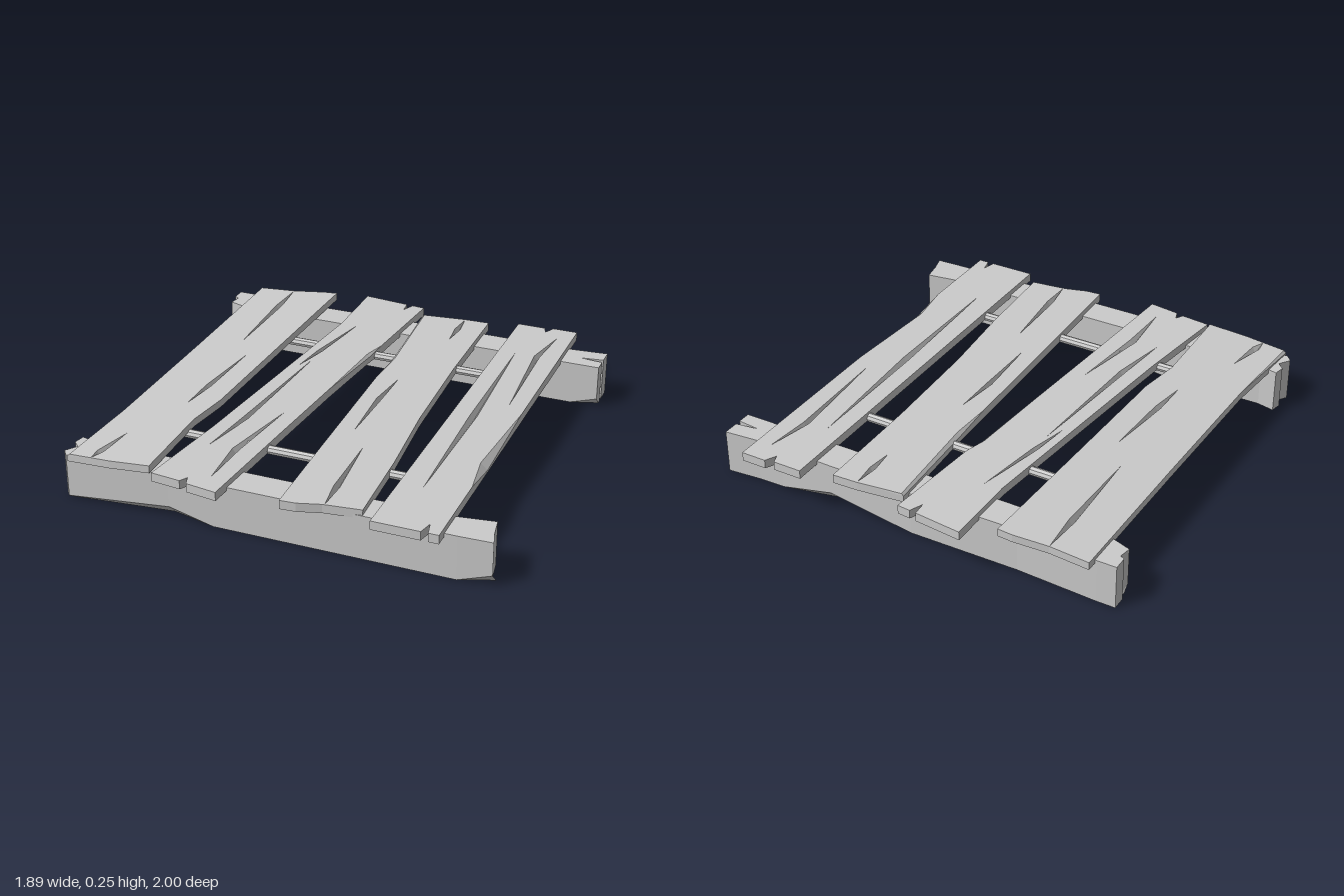
import * as THREE from 'three';

const material = new THREE.MeshStandardMaterial({ color: 0xcccccc, flatShading: true });

// Spindle-shaped crack from (x0,z0) to (x1,z1), widest at fraction t, bowed sideways
function crack([x0, z0, x1, z1, w = 0.013, t = 0.5, bow = 0]) {
  const x = x0 + (x1 - x0) * t + bow, z = z0 + (z1 - z0) * t;
  return [[x0, z0], [x + w, z], [x1, z1], [x - w, z]];
}

// Hewn timber slab. Outline points: [x, z, top worn in x, bottom chamfer in z]
function slab(name, outline, y0, y1, cracks = [], tilt = 0, depth = 0.025) {
  const v2 = p => new THREE.Vector2(p[0], p[1]);
  if (THREE.ShapeUtils.area(outline.map(v2)) < 0) outline = outline.slice().reverse();
  const box = new THREE.Box2().setFromPoints(outline.map(v2));
  const mid = box.getCenter(new THREE.Vector2());
  const at = (x, y, z) => new THREE.Vector3(x, y + tilt * (x - box.min.x), z);
  const positions = [];
  const n = new THREE.Vector3(), e = new THREE.Vector3();

  // up: 1 or -1 forces the face to look up or down
  const face = (a, b, c, up = 0) => {
    n.subVectors(b, a).cross(e.subVectors(c, a));
    if (n.length() < 1e-8) return;
    const order = up && n.y * up < 0 ? [a, c, b] : [a, b, c];
    order.forEach(p => positions.push(p.x, p.y, p.z));
  };

  const bottom = outline.map(([x, z, , c = 0]) => at(x, y0, z - Math.sign(z - mid.y) * c));
  const low = outline.map(([x, z, , c = 0]) => at(x, y0 + c, z));
  const high = outline.map(([x, z, w = 0]) => at(x, y1 - w, z));
  const top = outline.map(([x, z, w = 0]) => at(x - Math.sign(x - mid.x) * w, y1, z));

  // Side walls
  const rings = [bottom, low, high, top];
  for (let r = 0; r < 3; r++) {
    outline.forEach((_, i) => {
      const j = (i + 1) % outline.length, A = rings[r], B = rings[r + 1];
      face(A[i], B[i], B[j]);
      face(A[i], B[j], A[j]);
    });
  }

  // Caps, the top one pierced by the cracks
  const flat = ring => ring.map(p => new THREE.Vector2(p.x, p.z));
  const holes = cracks.map(c => crack(c).map(([x, z]) => at(x, y1, z)));
  const all = top.concat(...holes);
  THREE.ShapeUtils.triangulateShape(flat(top), holes.map(flat))
    .forEach(([a, b, c]) => face(all[a], all[b], all[c], 1));
  THREE.ShapeUtils.triangulateShape(flat(bottom), [])
    .forEach(([a, b, c]) => face(bottom[a], bottom[b], bottom[c], -1));

  // Sunken crack walls
  holes.forEach(h => {
    const pit = h[1].clone().add(h[3]).multiplyScalar(0.5);
    pit.y -= depth;
    h.forEach((p, i) => face(p, h[(i + 1) % h.length], pit, 1));
  });

  const geometry = new THREE.BufferGeometry();
  geometry.setAttribute('position', new THREE.Float32BufferAttribute(positions, 3));
  geometry.computeVertexNormals();
  const mesh = new THREE.Mesh(geometry, material);
  mesh.name = name;
  return mesh;
}

export function createModel() {
  const group = new THREE.Group();
  group.name = 'woodenPallet';

  // Cross beams resting on the ground
  group.add(slab('frontBeam', [
    [-0.93, 0.75], [-0.85, 0.768], [-0.4, 0.765], [0.1, 0.765, 0, 0.05], [0.4, 0.768], [0.74, 0.77],
    [0.91, 0.745], [0.925, 0.83], [0.945, 0.9, 0, 0.05], [0.8, 0.905], [-0.25, 0.905],
    [-0.45, 0.905, 0, 0.05], [-0.92, 0.912, 0, 0.005], [-0.945, 0.88], [-0.91, 0.83], [-0.94, 0.8],
  ], 0, 0.2));
  group.add(slab('backBeam', [
    [-0.95, -0.862], [-0.865, -0.862], [-0.5, -0.845], [0, -0.85], [0.4, -0.85, 0, 0.06], [0.65, -0.845],
    [0.77, -0.848], [0.925, -0.862], [0.925, -0.79], [0.82, -0.775], [0.925, -0.765], [0.925, -0.705, 0, 0.04],
    [0.8, -0.705], [-0.85, -0.705], [-0.94, -0.735, 0, 0.03], [-0.93, -0.79], [-0.95, -0.8],
  ], 0, 0.2));

  // Deck planks, the outer right one lying tilted
  group.add(slab('plankOuterRight', [
    [-0.855, -0.91], [-0.68, -0.91], [-0.525, -0.93], [-0.46, -0.93], [-0.465, -0.8], [-0.5, 0.3],
    [-0.53, 0.5], [-0.52, 0.93], [-0.7, 0.935], [-0.905, 0.925, 0.01], [-0.87, 0.5], [-0.86, -0.2],
  ], 0.18, 0.215, [
    [-0.68, -0.905, -0.675, -0.29, 0.014, 0.3], [-0.59, -0.155, -0.63, 0.36, 0.013, 0.65],
    [-0.75, 0.69, -0.79, 0.925, 0.016, 0.75],
  ], 0.07));
  group.add(slab('plankInnerRight', [
    [-0.325, -1], [-0.11, -0.978], [-0.105, -0.915], [-0.08, -0.975], [-0.02, -0.97], [-0.06, -0.5],
    [-0.075, -0.4, 0.012], [-0.115, 0], [-0.15, 0.45], [-0.19, 0.995], [-0.33, 0.975], [-0.345, 0.93],
    [-0.365, 0.965], [-0.5, 0.95], [-0.44, 0.5], [-0.39, 0], [-0.325, -0.66],
  ], 0.185, 0.225, [
    [-0.245, -0.67, -0.335, -0.17, 0.011, 0.65], [-0.3, -0.25, -0.385, 0.65, 0.013, 0.7, 0.015],
    [-0.21, 0.27, -0.26, 0.89, 0.016, 0.6, -0.025],
  ]));
  group.add(slab('plankInnerLeft', [
    [0, -0.895, 0.01], [0.21, -0.92], [0.325, -0.925], [0.33, -0.4], [0.35, 0.1], [0.385, 0.5], [0.405, 0.9],
    [0.24, 0.92], [0.14, 0.95], [0.07, 0.955], [0.055, 0.5], [0.035, -0.2], [0.03, -0.4, 0.015],
  ], 0.185, 0.225, [
    [0.21, -0.915, 0.21, -0.69, 0.013, 0.5], [0.135, -0.21, 0.13, 0.31, 0.012, 0.4, -0.01],
    [0.22, 0.43, 0.25, 0.915, 0.014, 0.7],
  ]));
  group.add(slab('plankOuterLeft', [
    [0.46, -0.97], [0.59, -0.97], [0.605, -0.93], [0.63, -0.98], [0.745, -0.98], [0.745, -0.1],
    [0.745, 0.37, 0.03], [0.745, 0.57], [0.745, 0.965], [0.7, 0.965], [0.685, 0.9], [0.67, 0.965],
    [0.46, 0.965],
  ], 0.185, 0.225, [
    [0.54, -0.66, 0.565, 0.65, 0.016, 0.5, 0.005], [0.675, -0.88, 0.67, -0.16, 0.013, 0.3, -0.03],
  ]));

  // Thin rods under the planks
  [['frontRod', 0.545], ['backRod', -0.455]].forEach(([name, z]) => {
    const rod = new THREE.Mesh(new THREE.CylinderGeometry(0.02, 0.02, 1.5, 8), material);
    rod.name = name;
    rod.rotation.z = Math.PI / 2;
    rod.position.set(-0.04, 0.195, z);
    group.add(rod);
  });

  return group;
}
